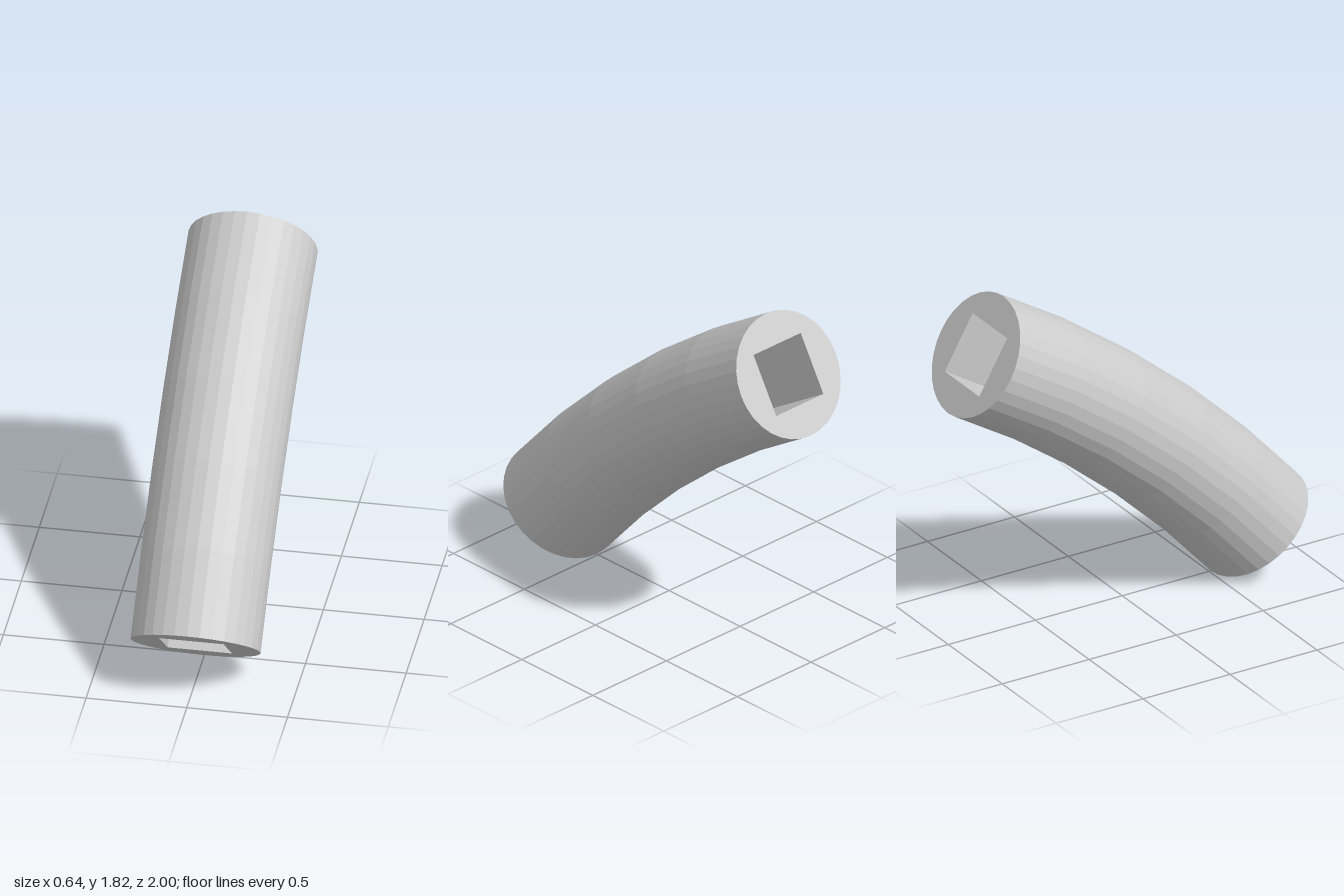
import * as THREE from 'three';

export function createModel() {
  const group = new THREE.Group();

  // Round profile with a square bore
  const profile = new THREE.Shape();
  profile.absarc(0, 0, 0.32, 0, Math.PI * 2, false);
  const h = 0.16;
  profile.holes.push(new THREE.Path([
    new THREE.Vector2(-h, -h), new THREE.Vector2(-h, h),
    new THREE.Vector2(h, h), new THREE.Vector2(h, -h),
  ]));

  // Straight bar in five steps, depth runs from 0 to 1
  const geometry = new THREE.ExtrudeGeometry(profile, {
    depth: 1, steps: 5, curveSegments: 16, bevelEnabled: false,
  });

  // Bend the bar along a shallow arc: 50 degrees at the foot, 30 at the top
  const R = 6, centreY = -3.651, centreZ = -3.841;
  const p = geometry.attributes.position;
  for (let i = 0; i < p.count; i++) {
    const a = THREE.MathUtils.degToRad(50 - 20 * p.getZ(i));
    const r = R + p.getY(i);
    p.setXYZ(i, -p.getX(i), centreY + r * Math.cos(a), centreZ + r * Math.sin(a));
  }
  geometry.computeVertexNormals();

  const tube = new THREE.Mesh(geometry,
    new THREE.MeshStandardMaterial({ color: 0xcccccc, flatShading: true }));
  tube.name = 'curvedTube';
  group.add(tube);
  return group;
}
